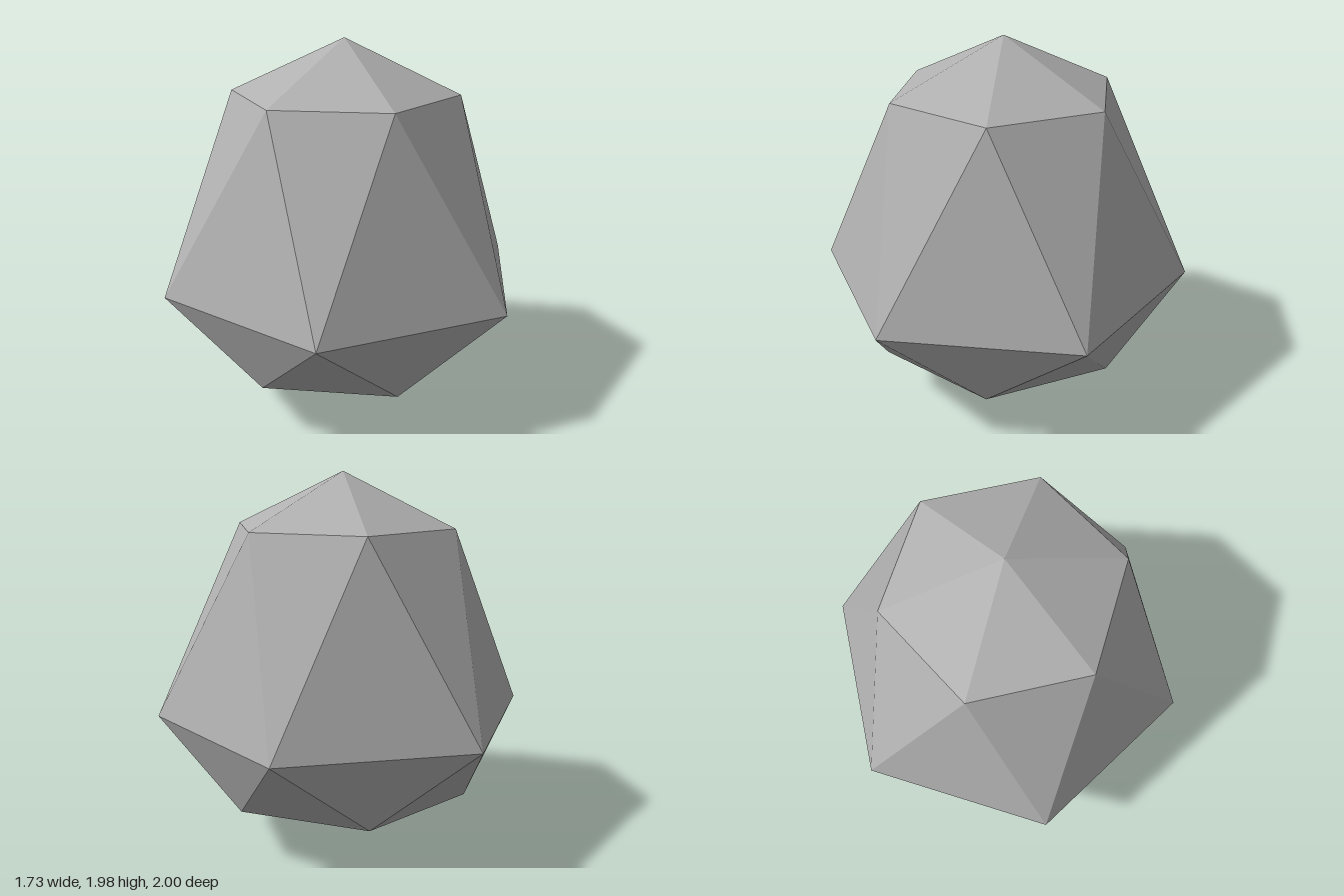
import * as THREE from 'three';

const SIDES = 6;

// Corner i of a hexagonal ring; turn is in steps of one side
function corner({ r, y, turn }, i) {
  const a = ((i + turn) / SIDES) * Math.PI * 2;
  return [r * Math.sin(a), y, r * Math.cos(a)];
}

// Rings from bottom to top, each turned half a side from the next
const tip = { r: 0, y: 0, turn: 0 };
const lower = { r: 0.69, y: 0.28, turn: 0.5 };
const girdle = { r: 1, y: 0.71, turn: 0 };
const upper = { r: 0.6, y: 1.7, turn: 0.5 };
const peak = { r: 0, y: 1.98, turn: 0 };

// Band of triangles between two rings; a ring of radius 0 closes it to a point
function facets(name, bottom, top, material) {
  const points = [];
  const lead = top.turn > bottom.turn ? 0 : 1;
  for (let i = 0; i < SIDES; i++) {
    if (bottom.r > 0) {
      points.push(...corner(bottom, i), ...corner(bottom, i + 1), ...corner(top, i + lead));
    }
    if (top.r > 0) {
      points.push(...corner(top, i + 1), ...corner(top, i), ...corner(bottom, i + 1 - lead));
    }
  }
  const geometry = new THREE.BufferGeometry();
  geometry.setAttribute('position', new THREE.Float32BufferAttribute(points, 3));
  geometry.computeVertexNormals();
  const mesh = new THREE.Mesh(geometry, material);
  mesh.name = name;
  return mesh;
}

export function createModel() {
  const stone = new THREE.MeshStandardMaterial({ color: 0xb0b0b0, flatShading: true });
  stone.name = 'grey stone';

  const gem = new THREE.Group();
  gem.name = 'gemstone';
  gem.add(
    facets('bottomPoint', tip, lower, stone),
    facets('lowerFacets', lower, girdle, stone),
    facets('upperFacets', girdle, upper, stone),
    facets('crown', upper, peak, stone),
  );
  return gem;
}
